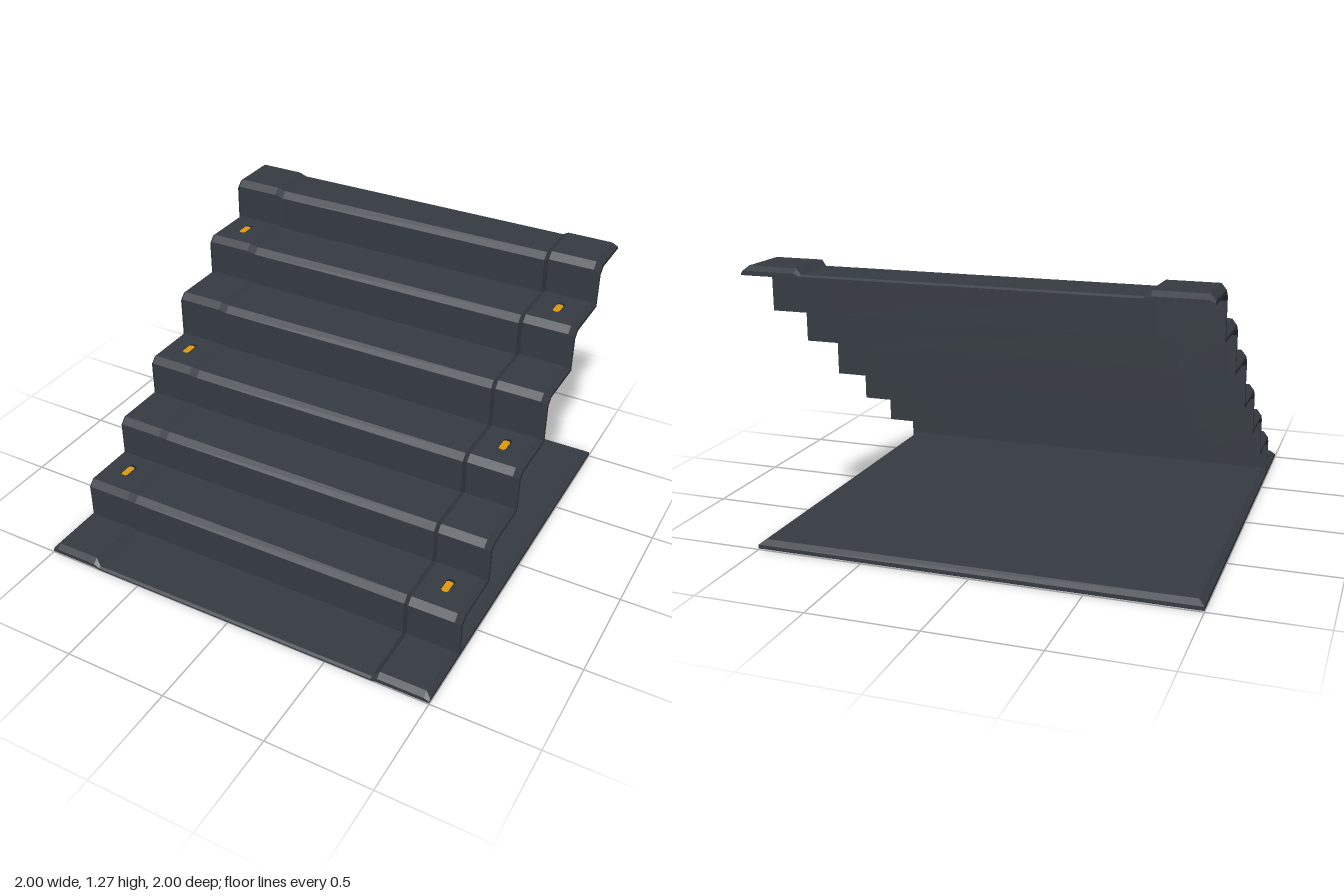
import * as THREE from 'three';

const charcoal = new THREE.MeshStandardMaterial({ color: 0x353b42 });
charcoal.name = 'charcoal metal';
const dark = new THREE.MeshStandardMaterial({ color: 0x202429 });
dark.name = 'dark recess';
const amber = new THREE.MeshStandardMaterial({ color: 0xe09a08 });
amber.name = 'amber light';

const THICK = 0.038, THIN = 0.016, CHAMFER = 0.03, LIFT = 0.005;
// back face of each riser (z) and underside of each tread (y)
const STEPS = [[0.675, 0.202], [0.39, 0.401], [0.105, 0.603], [-0.18, 0.834], [-0.47, 1.035], [-0.755, 1.235]];
// x, sheet thickness and height of the front strip's underside: raised pads on both sides
const STATIONS = [[-1, THIN, LIFT], [-0.975, THICK, LIFT], [-0.755, THICK, LIFT], [-0.725, THIN, 0],
  [0.725, THIN, 0], [0.755, THICK, LIFT], [0.975, THICK, LIFT], [1, THIN, LIFT]];

// collects quads (corners counter-clockwise) into a flat-shaded geometry
function quadBuilder() {
  const pos = [];
  return {
    quad(a, b, c, d) { for (const p of [a, b, c, a, c, d]) pos.push(...p); },
    build() {
      const g = new THREE.BufferGeometry();
      g.setAttribute('position', new THREE.Float32BufferAttribute(pos, 3));
      g.computeVertexNormals();
      return g;
    },
  };
}

// stair line from the front edge to the top rear edge, offset outwards by d
function stairLine(x, d, base) {
  const e = d * 0.7;
  const pts = [[x, base + d / 2, 1], [x, base + d, 1 - e]];
  let y = base;
  for (const [z, top] of STEPS) {
    pts.push([x, y + d, z + d], [x, top + d - CHAMFER, z + d], [x, top + d, z + d - CHAMFER]);
    y = top;
  }
  pts.push([x, y + d, -1 + e], [x, y + d / 2, -1]);
  return pts;
}

function stairGeometry() {
  const { quad, build } = quadBuilder();
  const outer = STATIONS.map(([x, d, base]) => stairLine(x, d, base));
  const under = STATIONS.map(([x, , base]) => stairLine(x, 0, base));
  const n = outer[0].length, last = STATIONS.length - 1;
  for (let j = 0; j < last; j++) {
    const o = outer[j], p = outer[j + 1], u = under[j], v = under[j + 1];
    for (let i = 0; i < n - 1; i++) {
      quad(o[i], p[i], p[i + 1], o[i + 1]);
      quad(u[i + 1], v[i + 1], v[i], u[i]);
    }
    quad(u[0], v[0], p[0], o[0]);
    quad(o[n - 1], p[n - 1], v[n - 1], u[n - 1]);
  }
  // side edges
  for (let i = 0; i < n - 1; i++) {
    quad(outer[last][i], under[last][i], under[last][i + 1], outer[last][i + 1]);
    quad(outer[0][i + 1], under[0][i + 1], under[0][i], outer[0][i]);
  }
  return build();
}

// floor plate behind the first riser, with a bevelled upper rim
function floorGeometry() {
  const { quad, build } = quadBuilder();
  const front = STEPS[0][0];
  const ring = (y, x, back) => [[-x, y, front], [x, y, front], [x, y, back], [-x, y, back]];
  const rings = [ring(LIFT, 1, -1), ring(0.023, 1, -1), ring(LIFT + THICK, 0.973, -0.973)];
  for (let r = 0; r < 2; r++) {
    for (let i = 0; i < 4; i++) {
      const k = (i + 1) % 4;
      quad(rings[r][i], rings[r][k], rings[r + 1][k], rings[r + 1][i]);
    }
  }
  quad(...rings[2]);
  quad(...rings[0].slice().reverse());
  return build();
}

// thin plate with clipped corners, lying flat
function clippedPlate(w, l, h) {
  const c = 0.008, a = w / 2, b = l / 2;
  const s = new THREE.Shape([[a - c, -b], [a, -b + c], [a, b - c], [a - c, b],
    [-a + c, b], [-a, b - c], [-a, -b + c], [-a + c, -b]].map(([x, y]) => new THREE.Vector2(x, y)));
  return new THREE.ExtrudeGeometry(s, { depth: h, bevelEnabled: false }).rotateX(-Math.PI / 2);
}

export function createModel() {
  const model = new THREE.Group();
  model.name = 'staircase';
  const add = (parent, name, geometry, material, x = 0, y = 0, z = 0) => {
    const m = new THREE.Mesh(geometry, material);
    m.name = name;
    m.position.set(x, y, z);
    parent.add(m);
  };

  add(model, 'foldedStairs', stairGeometry(), charcoal);
  add(model, 'floorPlate', floorGeometry(), charcoal);

  // marker lights sunk almost flush into both pads of every other tread
  const light = clippedPlate(0.034, 0.072, 0.005);
  const recess = clippedPlate(0.04, 0.084, 0.005);
  for (const [step, z] of [[0, 0.552], [2, -0.02], [4, -0.588]]) {
    for (const x of [-0.866, 0.866]) {
      const marker = new THREE.Group();
      marker.name = 'stepLight';
      marker.position.set(x, STEPS[step][1] + THICK, z);
      add(marker, 'lightRecess', recess, dark, 0, -0.0043, -0.008);
      add(marker, 'lightLens', light, amber, 0, -0.0036, 0);
      model.add(marker);
    }
  }
  return model;
}
